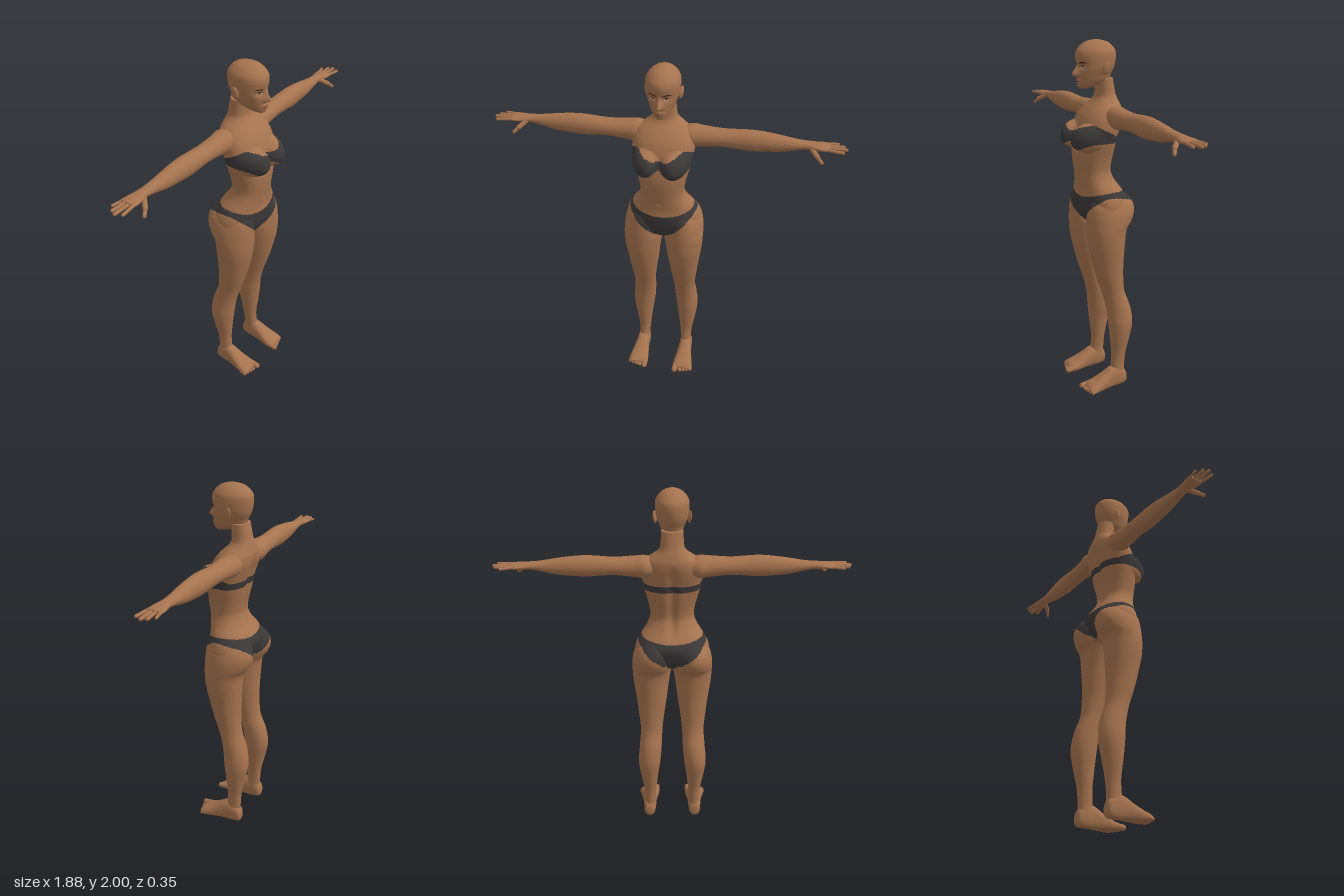
import * as THREE from 'three';

const mat = (name, color) => new THREE.MeshStandardMaterial({ name, color });
const gauss = (d, w) => Math.exp(-((d / w) ** 2));
const clamp = THREE.MathUtils.clamp, lerp = THREE.MathUtils.lerp;
const step = THREE.MathUtils.smoothstep;

// Smooth interpolation through the rows of a cross-section list.
function sampleRows(rows, f) {
  const i = Math.min(Math.floor(f), rows.length - 2), t = f - i;
  const at = k => rows[clamp(k, 0, rows.length - 1)];
  const [a, b, c, d] = [at(i - 1), at(i), at(i + 1), at(i + 2)];
  return b.map((_, k) => {
    const m0 = (c[k] - a[k]) / 2, m1 = (d[k] - b[k]) / 2;
    return b[k] + t * (m0 + t * (3 * (c[k] - b[k]) - 2 * m0 - m1 + t * (2 * (b[k] - c[k]) + m0 + m1)));
  });
}

// Body loft: rows are [t, u0, u1, v0, v1]; axes gives the xyz slot of t, u and v.
function loft(name, rows, axes, { radial = 32, steps = 60, side = 1, power = 1, sculpt, paint, materials }) {
  const pos = [], p = new THREE.Vector3();
  const flip = (rows[1][0] < rows[0][0]) !== (side < 0);
  const push = (t, u, v) => {
    const q = [0, 0, 0];
    q[axes[0]] = t; q[axes[1]] = u; q[axes[2]] = v;
    p.fromArray(q);
    if (sculpt) sculpt(p);
    pos.push(p.x * side, p.y, p.z);
  };
  const bend = c => Math.sign(c) * Math.abs(c) ** power;
  for (let i = 0; i <= steps; i++) {
    const [t, u0, u1, v0, v1] = sampleRows(rows, i / steps * (rows.length - 1));
    for (let j = 0; j < radial; j++) {
      const a = j / radial * Math.PI * 2;
      push(t, (u0 + u1) / 2 + (u1 - u0) / 2 * bend(Math.cos(a)), (v0 + v1) / 2 + (v1 - v0) / 2 * bend(Math.sin(a)));
    }
  }
  for (const r of [rows[0], rows[rows.length - 1]]) push(r[0], (r[1] + r[2]) / 2, (r[3] + r[4]) / 2);
  const groups = materials.map(() => []);
  const tri = (a, b, c) => {
    const mid = k => (pos[a * 3 + k] + pos[b * 3 + k] + pos[c * 3 + k]) / 3;
    groups[paint ? paint(mid(0), mid(1), mid(2)) : 0].push(a, ...(flip ? [c, b] : [b, c]));
  };
  const end = (steps + 1) * radial;
  for (let j = 0; j < radial; j++) {
    const k = (j + 1) % radial;
    for (let i = 0; i < steps; i++) {
      const r = i * radial, s = r + radial;
      tri(r + j, s + j, r + k);
      tri(r + k, s + j, s + k);
    }
    tri(end, j, k);
    tri(end + 1, steps * radial + k, steps * radial + j);
  }
  const g = new THREE.BufferGeometry();
  g.setAttribute('position', new THREE.Float32BufferAttribute(pos, 3));
  g.setIndex(groups.flat());
  let start = 0;
  groups.forEach((list, m) => { g.addGroup(start, list.length, m); start += list.length; });
  g.computeVertexNormals();
  const mesh = new THREE.Mesh(g, paint ? materials : materials[0]);
  mesh.name = name;
  return mesh;
}

// Capsule between two points, for fingers and toes.
function digit(name, a, b, r, material, side, flat = 1) {
  const A = new THREE.Vector3(a[0] * side, a[1], a[2]), B = new THREE.Vector3(b[0] * side, b[1], b[2]);
  const d = B.clone().sub(A);
  const g = new THREE.CapsuleGeometry(r, d.length(), 5, 12);
  g.applyQuaternion(new THREE.Quaternion().setFromUnitVectors(new THREE.Vector3(0, 1, 0), d.normalize()));
  g.scale(1, flat, 1);
  const mesh = new THREE.Mesh(g, material);
  mesh.position.copy(A).add(B).multiplyScalar(0.5);
  mesh.name = name;
  return mesh;
}

// Where the two-piece swimsuit covers the body: 1 is cloth, 0 is skin.
function swimsuit(x, y, z) {
  const ax = Math.abs(x), k = clamp((z + 0.05) / 0.12, 0, 1);
  const braTop = lerp(1.505, 1.525 + 0.045 * step(ax, 0, 0.13), k);
  const braLow = lerp(1.468, 1.482 - 0.042 * gauss(ax - 0.085, 0.055), k);
  if (y < braTop && y > braLow) return 1;
  const e = ax / 0.178, back = step(-z, -0.03, 0.06);
  const top = 1.165 + 0.04 * e * e + 0.02 * back * (1 - e * e);
  const low = lerp(0.99 + 0.178 * e ** 1.1, 1.02 + 0.145 * e, back);
  return y < top && y > low ? 1 : 0;
}

// Bust, spine groove and navel.
function sculptTorso(p) {
  if (p.z > 0) {
    const d = ((Math.abs(p.x) - 0.084) / 0.08) ** 2 + ((p.y - 1.497) / 0.075) ** 2;
    if (d < 1) p.z += 0.074 * (1 - d) ** 0.6;
    p.z -= 0.008 * gauss(p.x, 0.008) * gauss(p.y - 1.25, 0.01);
  } else {
    p.z += 0.013 * gauss(p.x, 0.025) * step(p.y, 1.17, 1.25) * (1 - step(p.y, 1.55, 1.65));
  }
}

// Nose, eye sockets, lips and chin.
function sculptHead(p) {
  if (p.z < 0.02) return;
  const ax = Math.abs(p.x), y = p.y;
  const ridge = step(1.885 - y, 0, 0.062) * step(y, 1.808, 1.824);
  p.z += 0.03 * ridge * gauss(ax, 0.01 + 0.006 * step(1.86 - y, 0, 0.04));
  p.z -= 0.01 * gauss(ax - 0.032, 0.02) * gauss(y - 1.864, 0.014);
  p.z += 0.007 * gauss(ax, 0.024) * (gauss(y - 1.791, 0.007) + gauss(y - 1.779, 0.006));
  p.z += 0.004 * gauss(ax, 0.02) * gauss(y - 1.762, 0.01);
}

export function createModel() {
  const skin = mat('skin', 0xa5734f), cloth = mat('charcoal cloth', 0x3b3838);
  const dark = mat('brow brown', 0x38251b), lip = mat('lip brown', 0x8a5540), white = mat('eye white', 0xb9a596);
  const model = new THREE.Group();
  model.name = 'figure';
  const two = [skin, cloth], UP = [1, 0, 2];

  // Torso and neck
  const torso = [[1.0, .03, -.06, .04], [1.02, .09, -.1, .07], [1.06, .17, -.125, .09], [1.1, .204, -.142, .1],
    [1.15, .199, -.15, .105], [1.2, .172, -.125, .103], [1.25, .138, -.09, .108], [1.3, .12, -.07, .115],
    [1.35, .124, -.073, .122], [1.4, .135, -.083, .125], [1.45, .148, -.092, .12], [1.5, .158, -.1, .112],
    [1.55, .165, -.115, .105], [1.6, .16, -.128, .085], [1.64, .14, -.13, .055], [1.665, .11, -.125, .03],
    [1.69, .078, -.118, .008], [1.72, .062, -.108, -.002], [1.8, .057, -.092, 0]]
    .map(([y, w, b, f]) => [y, -w, w, b, f]);
  model.add(loft('torso', torso, UP, { radial: 112, steps: 180, power: 0.9, sculpt: sculptTorso, paint: swimsuit, materials: two }));

  // Head
  const headRows = [[1.75, .018, .045, .093], [1.762, .036, -.01, .104], [1.79, .057, -.07, .107], [1.82, .069, -.085, .109],
    [1.85, .08, -.1, .109], [1.88, .086, -.108, .108], [1.92, .088, -.112, .113], [1.95, .082, -.105, .104],
    [1.98, .057, -.076, .074], [1.994, .03, -.042, .042], [2.0, .004, -.006, .006]]
    .map(([y, w, b, f]) => [y, -w, w, b, f]);
  const head = loft('head', headRows, UP, { radial: 104, steps: 100, sculpt: sculptHead, materials: [skin] });
  model.add(head);

  // Thin face details laid on the head surface
  const ray = new THREE.Raycaster();
  const decal = (name, a, b, midY, half, material, lift, s = 1) => {
    const g = new THREE.PlaneGeometry(1, 1, 16, 4), P = g.attributes.position;
    for (let i = 0; i < P.count; i++) {
      const w = P.getX(i) + 0.5, u = s > 0 ? w : 1 - w;
      const x = s * lerp(a, b, u), y = midY(u) + 2 * P.getY(i) * half * Math.sin(Math.PI * u) ** 0.7;
      ray.set(new THREE.Vector3(x, y, 1), new THREE.Vector3(0, 0, -1));
      const hit = ray.intersectObject(head)[0];
      P.setXYZ(i, x, y, (hit ? hit.point.z : 0.09) + lift);
    }
    g.computeVertexNormals();
    const mesh = new THREE.Mesh(g, material);
    mesh.name = name;
    model.add(mesh);
  };
  decal('upperLip', -.025, .025, u => 1.791 - .003 * Math.cos(u * Math.PI * 2), .0035, lip, .0015);
  decal('lowerLip', -.022, .022, u => 1.783 - .004 * Math.sin(u * Math.PI), .004, lip, .0015);
  decal('mouthLine', -.025, .025, () => 1.7865, .001, dark, .0025);

  for (const s of [1, -1]) {
    const tag = s > 0 ? 'left' : 'right';
    decal(tag + 'Brow', .01, .062, u => 1.881 + .013 * u - .012 * u ** 4, .0035, dark, .0015, s);
    decal(tag + 'Eye', .017, .05, u => 1.863 + .003 * u, .0055, white, .0012, s);
    decal(tag + 'Iris', .028, .039, () => 1.865, .005, dark, .002, s);
    decal(tag + 'LashLine', .015, .053, u => 1.864 + .004 * u + .005 * Math.sin(u * Math.PI), .0017, dark, .0028, s);

    // Ear
    const ear = new THREE.Mesh(new THREE.SphereGeometry(1, 20, 14), skin);
    ear.scale.set(.009, .034, .02);
    ear.position.set(s * .089, 1.858, -.015);
    ear.rotation.set(-.2, s * -.3, s * -.12);
    ear.name = tag + 'Ear';
    model.add(ear);

    // Arm and palm
    const arm = [[.08, -.1, 0, 1.57, 1.645], [.14, -.118, .012, 1.545, 1.664], [.2, -.107, .006, 1.55, 1.661],
      [.3, -.1, 0, 1.56, 1.655], [.38, -.097, 0, 1.556, 1.66], [.45, -.097, 0, 1.551, 1.664],
      [.52, -.095, -.004, 1.555, 1.66], [.6, -.088, -.01, 1.562, 1.65], [.68, -.082, -.018, 1.58, 1.637],
      [.735, -.08, -.022, 1.59, 1.632], [.78, -.088, -.012, 1.592, 1.628], [.82, -.096, -.007, 1.595, 1.624],
      [.845, -.09, -.012, 1.6, 1.62]];
    model.add(loft(tag + 'Arm', arm, [0, 2, 1], { radial: 36, steps: 72, side: s, materials: [skin] }));

    // Fingers and thumb
    [[.83, -.085, .888, -.096, .0075], [.835, -.063, .916, -.07, .0085], [.835, -.041, .929, -.043, .009],
      [.832, -.018, .912, -.009, .0085]].forEach(([x0, z0, x1, z1, r], i) =>
      model.add(digit(tag + 'Finger' + (i + 1), [x0, 1.61, z0], [x1, 1.607, z1], r, skin, s)));
    model.add(digit(tag + 'ThumbBase', [.755, 1.604, -.03], [.79, 1.578, .006], .013, skin, s));
    model.add(digit(tag + 'ThumbTip', [.79, 1.578, .006], [.814, 1.556, .021], .0095, skin, s));

    // Leg with buttock
    const leg = [[.03, .105, .165, -.112, -.035], [.06, .1, .17, -.118, -.03], [.12, .102, .166, -.12, -.035],
      [.2, .095, .171, -.126, -.04], [.3, .084, .188, -.147, -.03], [.4, .07, .199, -.165, -.02],
      [.5, .062, .191, -.152, -.008], [.6, .057, .184, -.117, .017], [.7, .045, .194, -.107, .05],
      [.8, .03, .206, -.107, .077], [.9, .018, .22, -.112, .098], [.98, .006, .225, -.122, .104],
      [1.03, .003, .224, -.155, .104], [1.08, .005, .218, -.173, .102], [1.13, .015, .2, -.166, .095],
      [1.17, .04, .165, -.135, .07], [1.2, .08, .13, -.08, .03]];
    model.add(loft(tag + 'Leg', leg, UP, { radial: 72, steps: 128, side: s, paint: swimsuit, materials: two }));

    // Foot and toes
    const foot = [[-.131, .025, .045, .128, .148], [-.12, 0, .085, .108, .168], [-.08, -.012, .12, .1, .174],
      [-.03, -.012, .118, .098, .178], [.02, -.012, .088, .092, .187], [.07, -.012, .06, .084, .198],
      [.105, -.008, .045, .083, .2], [.125, .008, .03, .09, .194]];
    model.add(loft(tag + 'Foot', foot, [2, 1, 0], { radial: 36, steps: 48, side: s, power: 0.85,
      sculpt: p => { p.y = Math.max(p.y, 0); }, materials: [skin] }));
    for (let i = 0; i < 5; i++) {
      const r = i ? .0125 - i * .0006 : .017, x = i ? .109 + i * .0212 : .098;
      model.add(digit(tag + 'Toe' + (i + 1), [x, r + .006, .09], [x, r, .138 - i * .006], r, skin, s));
    }
  }
  return model;
}
